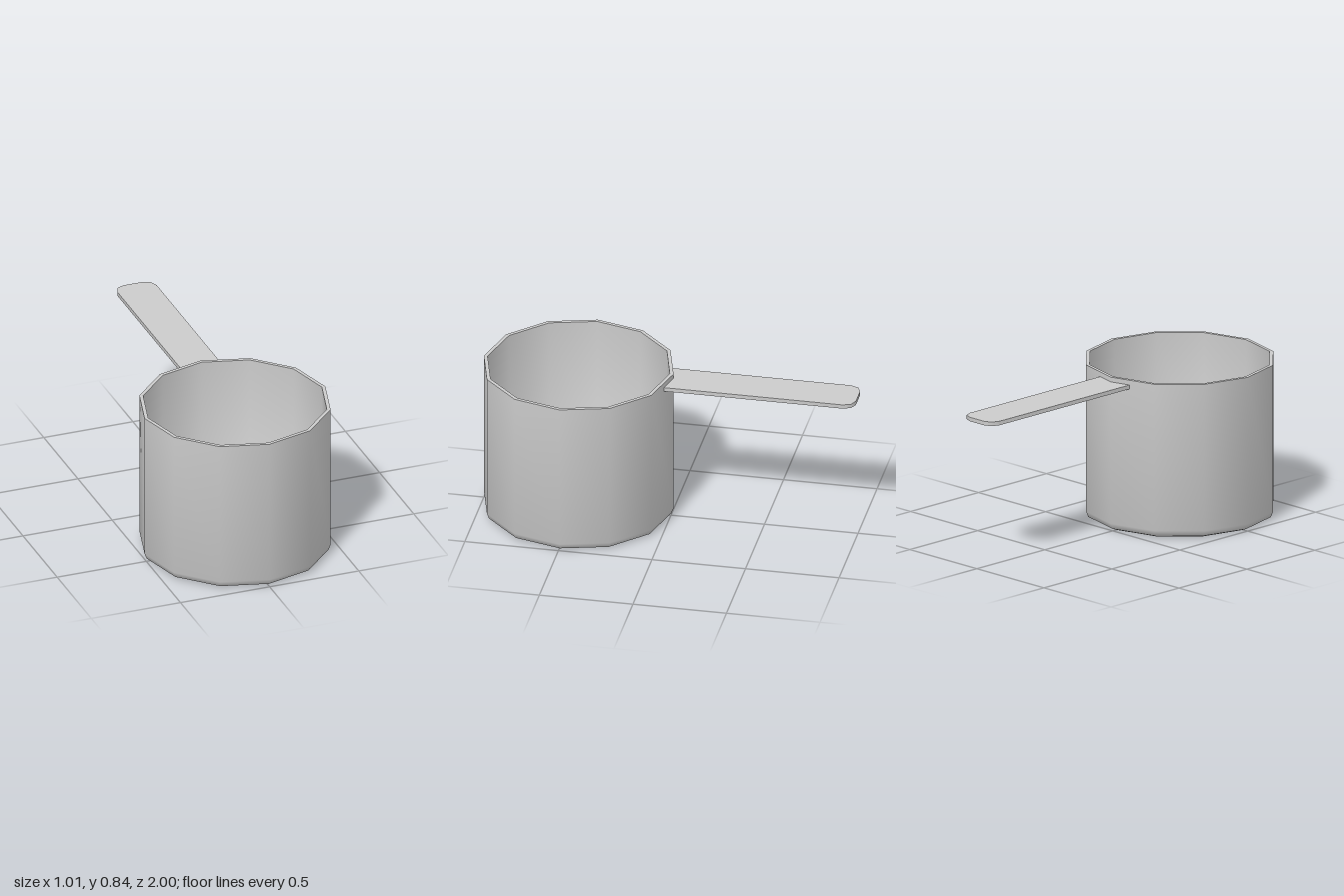
import * as THREE from 'three';
import { toCreasedNormals } from 'three/addons/utils/BufferGeometryUtils.js';

const v = (x, y) => new THREE.Vector2(x, y);

export function createModel() {
  const group = new THREE.Group();
  const material = new THREE.MeshStandardMaterial({ color: 0xcccccc });

  const add = (name, geometry) => {
    const mesh = new THREE.Mesh(toCreasedNormals(geometry, 0.9), material);
    mesh.name = name;
    group.add(mesh);
    return mesh;
  };

  // Twelve-sided cup: up the outside, over the rim and down the inside
  const profile = [
    v(0, 0.003), v(0.465, 0.003), v(0.495, 0.015), v(0.507, 0.045), v(0.507, 0.845),
    v(0.487, 0.845), v(0.487, 0.05), v(0.477, 0.032), v(0.452, 0.022), v(0, 0.022),
  ];
  add('cup', new THREE.LatheGeometry(profile, 12)).position.z = 0.493;

  // Flat handle: inner end follows the cup wall, outer corners are rounded
  const half = [v(0.11, -0.015), v(0.11, 0.94), v(0.094, 0.982), v(0.055, 1)];
  const outline = [v(0, 0.006), ...half, ...half.map((p) => v(-p.x, p.y)).reverse()];
  const handle = new THREE.ExtrudeGeometry(new THREE.Shape(outline), { depth: 0.022, bevelEnabled: false });
  handle.rotateX(-Math.PI / 2);
  add('handle', handle).position.y = 0.797;

  return group;
}
